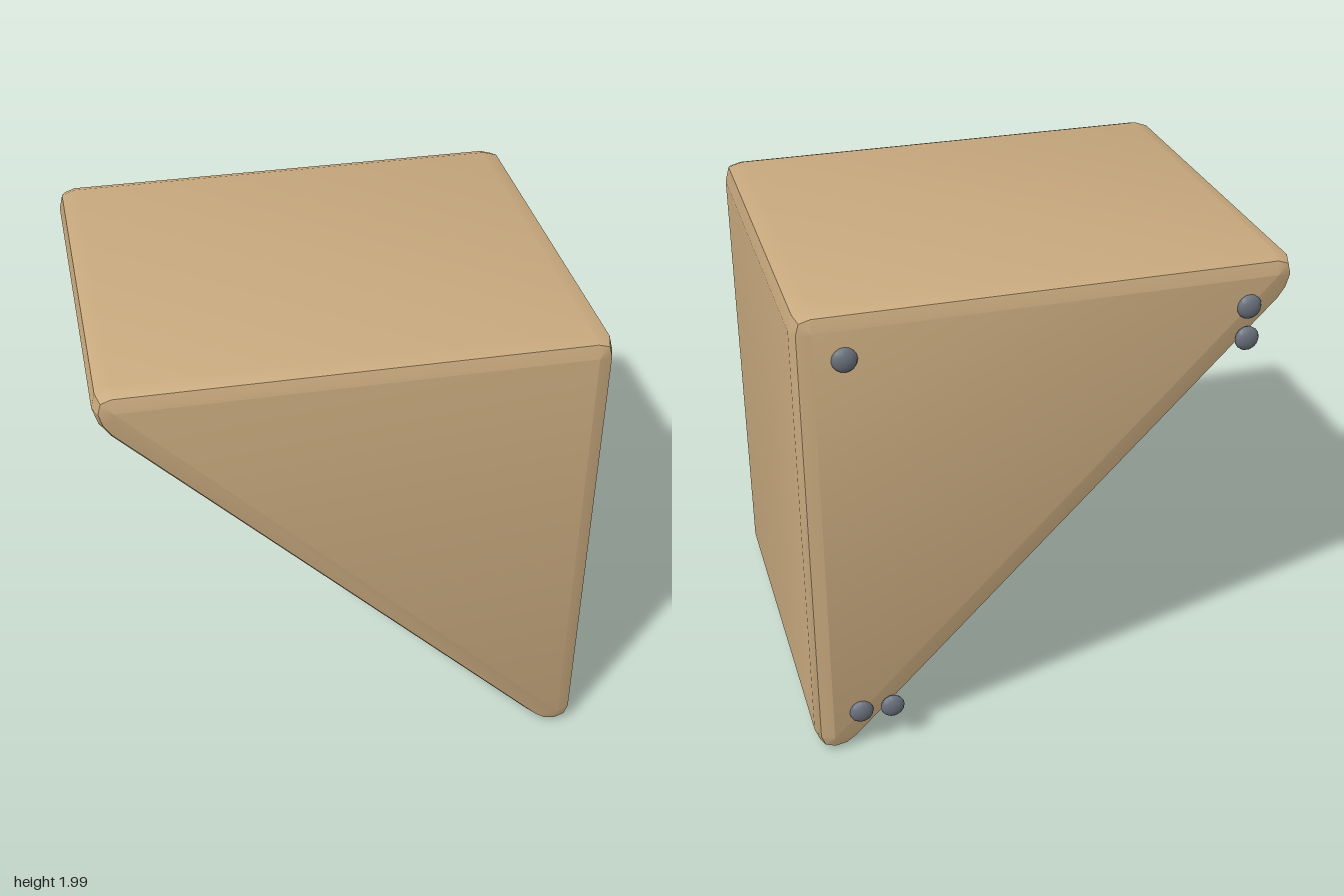
import * as THREE from 'three';
import { toCreasedNormals } from 'three/addons/utils/BufferGeometryUtils.js';

// Flat corners of the end faces: thin top corner, bottom corner, square top corner
const corners = [[-0.905, 1.93], [0.905, 0.08], [0.905, 1.93]];

// Rounded outline, counter-clockwise from the front: [x, y, nearest corner]
const outline = [
  [-0.91, 2.0, 0], [-0.965, 1.98, 0], [-0.98, 1.92, 0], [-0.96, 1.85, 0], [-0.92, 1.79, 0],
  [0.78, 0.06, 1], [0.835, 0.02, 1], [0.9, 0.008, 1], [0.955, 0.03, 1], [0.977, 0.09, 1],
  [0.977, 1.92, 2], [0.96, 1.983, 2], [0.9, 2.0, 2],
];

// Bevelled wedge: rings from front to back, [spread from corner to outline, z]
function wedgeGeometry() {
  const rings = [[0, 0.84], [0.74, 0.822], [1, 0.77], [1, -0.745], [0.74, -0.797], [0, -0.815]];
  const n = outline.length;
  const positions = [];
  const point = (r, i) => {
    const [t, z] = rings[r];
    const [x, y, c] = outline[i % n];
    const [cx, cy] = corners[c];
    return new THREE.Vector3(cx + (x - cx) * t, cy + (y - cy) * t, z);
  };
  const triangle = (a, b, c) => {
    // skip collapsed triangles at the flat corners
    if (a.distanceTo(b) < 1e-6 || b.distanceTo(c) < 1e-6 || c.distanceTo(a) < 1e-6) return;
    for (const p of [a, b, c]) positions.push(p.x, p.y, p.z);
  };
  for (let r = 0; r < rings.length - 1; r++) {
    for (let i = 0; i < n; i++) {
      const a = point(r, i), b = point(r + 1, i), c = point(r + 1, i + 1), d = point(r, i + 1);
      triangle(a, b, c);
      triangle(a, c, d);
    }
  }
  // End faces
  const last = rings.length - 1;
  triangle(point(0, 0), point(0, 5), point(0, 10));
  triangle(point(last, 0), point(last, 10), point(last, 5));

  const geometry = new THREE.BufferGeometry();
  geometry.setAttribute('position', new THREE.Float32BufferAttribute(positions, 3));
  return toCreasedNormals(geometry, 0.35);
}

export function createModel() {
  const group = new THREE.Group();
  group.name = 'wedgeBlock';

  const wedge = new THREE.Mesh(wedgeGeometry(), new THREE.MeshStandardMaterial({ color: 0xc8a97e }));
  wedge.name = 'wedge';
  group.add(wedge);

  // Flattened rivets near the corners of the back face
  const rivetMaterial = new THREE.MeshStandardMaterial({ color: 0x6a717c });
  const rivetGeometry = new THREE.SphereGeometry(0.05, 12, 8);
  rivetGeometry.scale(1, 1, 0.5);
  const rivets = new THREE.Group();
  rivets.name = 'rivets';
  for (const [x, y] of [[0.79, 1.815], [-0.79, 1.815], [-0.79, 1.68], [0.79, 0.2], [0.66, 0.2]]) {
    const rivet = new THREE.Mesh(rivetGeometry, rivetMaterial);
    rivet.name = 'rivet';
    rivet.position.set(x, y, -0.818);
    rivets.add(rivet);
  }
  group.add(rivets);
  return group;
}
